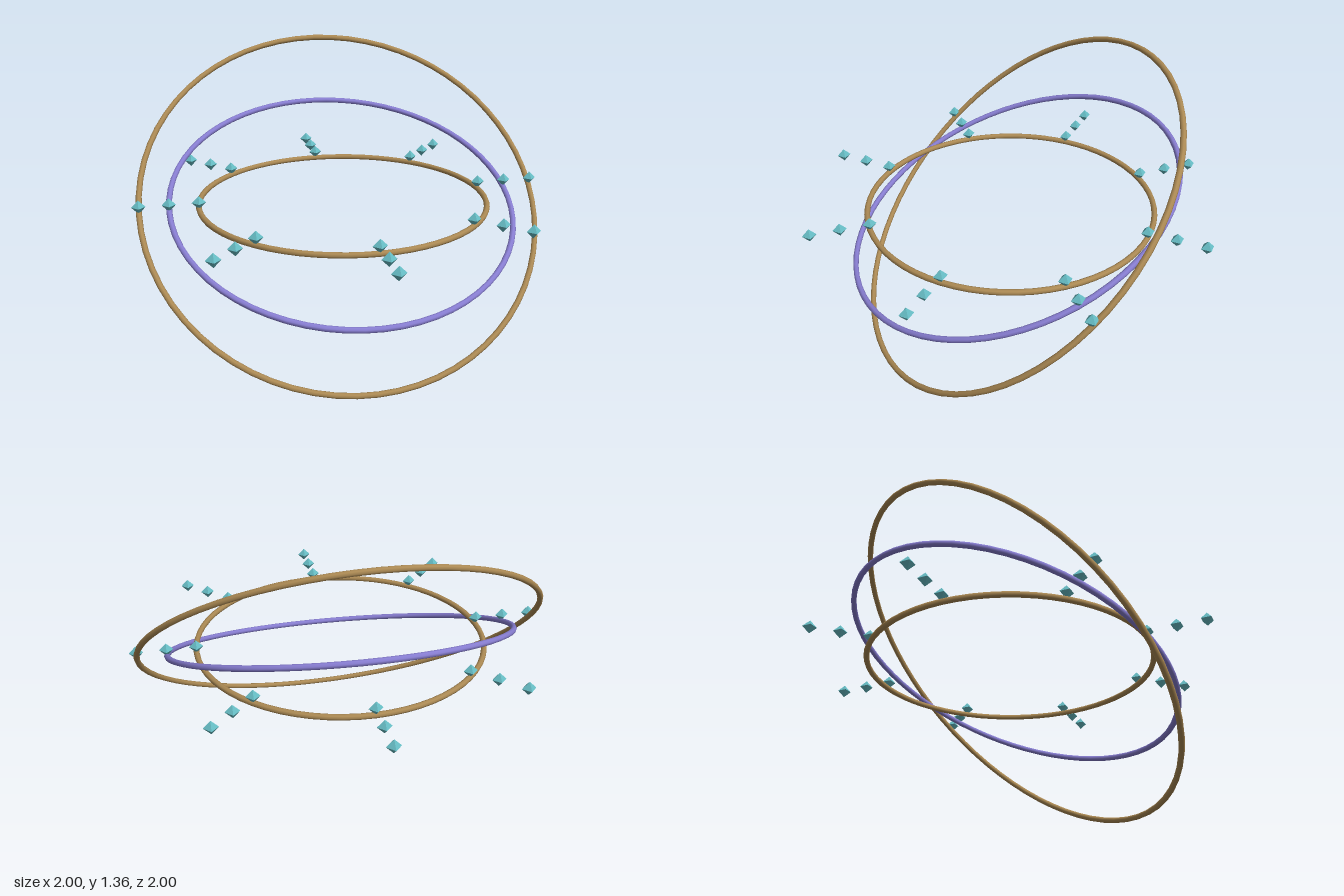
import * as THREE from 'three';

export function createModel() {
  const model = new THREE.Group();
  const brass = new THREE.MeshStandardMaterial({ color: 0xac8a54 });
  brass.name = 'brass';
  const violet = new THREE.MeshStandardMaterial({ color: 0x887ed2 });
  violet.name = 'violet';
  const teal = new THREE.MeshStandardMaterial({ color: 0x66bcc4 });
  teal.name = 'teal';

  const unit = 0.69;
  const centreY = 0.68;
  const gemGeometry = new THREE.OctahedronGeometry(0.033);
  const rings = [
    { name: 'inner', radius: unit, tilt: 0, material: brass },
    { name: 'middle', radius: unit * 1.2, tilt: 0.38, material: violet },
    { name: 'outer', radius: unit * 1.4, tilt: 0.76, material: brass },
  ];

  for (const { name, radius, tilt, material } of rings) {
    // Ring, tilted about x so that its back rises
    const ring = new THREE.Mesh(new THREE.TorusGeometry(radius, 0.0138, 8, 64), material);
    ring.name = name + 'Ring';
    ring.rotation.x = Math.PI / 2 + tilt;
    ring.position.y = centreY;
    model.add(ring);

    // Eight gems in a level circle of the same radius
    const gems = new THREE.Group();
    gems.name = name + 'Gems';
    for (let i = 0; i < 8; i++) {
      const a = (i * Math.PI) / 4;
      const gem = new THREE.Mesh(gemGeometry, teal);
      gem.name = 'gem';
      gem.position.set(radius * Math.cos(a), centreY + 0.0345, radius * Math.sin(a));
      gems.add(gem);
    }
    model.add(gems);
  }
  return model;
}
